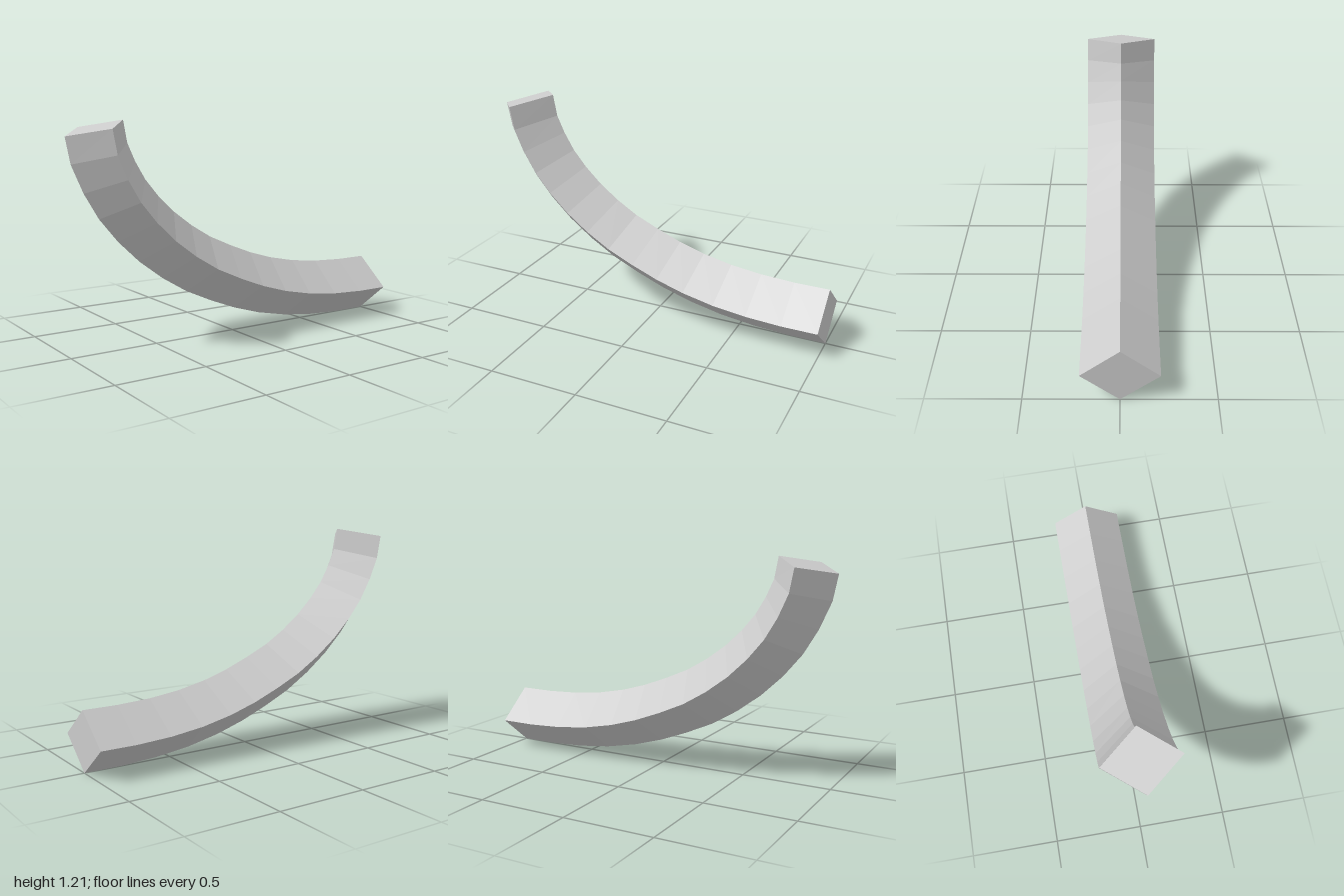
import * as THREE from 'three';

// Centre line of the curved bar, from the raised tip to the level end
const PATH = [
  [-0.84, 1.173], [-0.815, 1.043], [-0.76, 0.92], [-0.69, 0.803], [-0.6, 0.695],
  [-0.49, 0.59], [-0.365, 0.496], [-0.23, 0.414], [-0.08, 0.346], [0.07, 0.287],
  [0.23, 0.238], [0.41, 0.2], [0.6, 0.177], [0.8, 0.167], [1, 0.167],
].map(([x, y]) => new THREE.Vector2(x, y));
const HALF_HEIGHT = 0.166;
const HALF_WIDTH = 0.205;

// Diamond section standing square to the centre line
function diamondRing(i) {
  const last = PATH.length - 1;
  const p = PATH[i];
  let t = PATH[Math.min(i + 1, last)].clone().sub(PATH[Math.max(i - 1, 0)]);
  if (i === 0) t = new THREE.Vector2(0.24, -0.97);
  if (i === last) t = new THREE.Vector2(1, 0);
  t.normalize().multiplyScalar(HALF_HEIGHT);
  return [
    [p.x - t.y, p.y + t.x, 0],
    [p.x, p.y, HALF_WIDTH],
    [p.x + t.y, p.y - t.x, 0],
    [p.x, p.y, -HALF_WIDTH],
  ];
}

function curvedBarGeometry() {
  const rings = PATH.map((_, i) => diamondRing(i));
  const positions = [];
  const quad = (a, b, c, d) => positions.push(...a, ...b, ...c, ...a, ...c, ...d);

  // Four long sides
  for (let i = 0; i < rings.length - 1; i++) {
    for (let k = 0; k < 4; k++) {
      const n = (k + 1) % 4;
      quad(rings[i][k], rings[i][n], rings[i + 1][n], rings[i + 1][k]);
    }
  }
  // End caps
  quad(...[...rings[0]].reverse());
  quad(...rings[rings.length - 1]);

  const geometry = new THREE.BufferGeometry();
  geometry.setAttribute('position', new THREE.Float32BufferAttribute(positions, 3));
  geometry.computeVertexNormals();
  return geometry;
}

export function createModel() {
  const group = new THREE.Group();
  group.name = 'curvedDiamondBar';
  const material = new THREE.MeshStandardMaterial({ color: 0xcccccc, flatShading: true });
  const bar = new THREE.Mesh(curvedBarGeometry(), material);
  bar.name = 'curvedBar';
  group.add(bar);
  return group;
}
